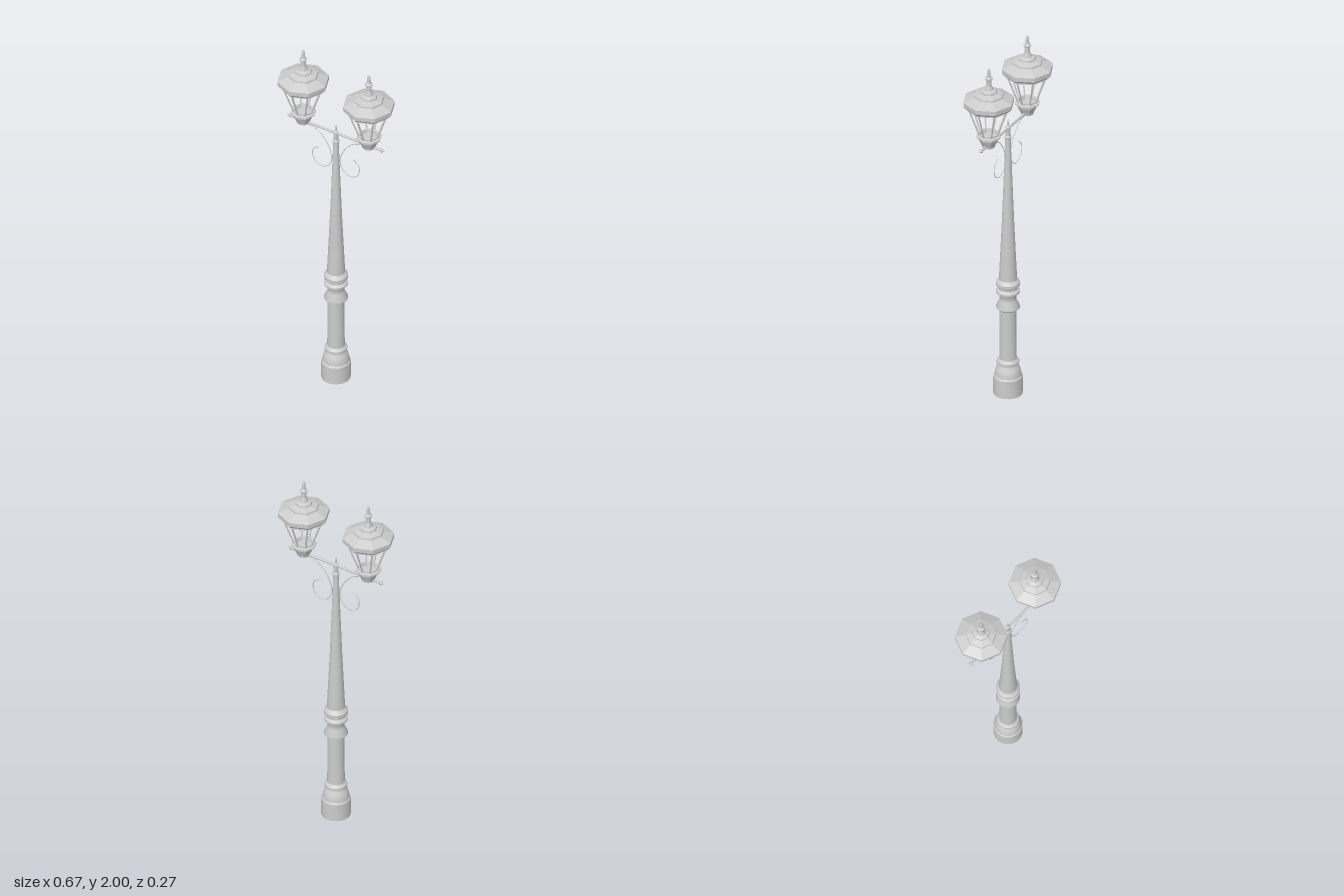
import * as THREE from 'three';
import { toCreasedNormals } from 'three/addons/utils/BufferGeometryUtils.js';

const smooth = new THREE.MeshStandardMaterial({ color: 0xcccccc });
const faceted = new THREE.MeshStandardMaterial({ color: 0xcccccc, flatShading: true });

function addMesh(parent, name, geometry, material = smooth) {
  const mesh = new THREE.Mesh(geometry, material);
  mesh.name = name;
  parent.add(mesh);
  return mesh;
}

// Turned solid from [radius, height] pairs, listed bottom to top
function lathe(profile, sides) {
  return new THREE.LatheGeometry(profile.map(([r, y]) => new THREE.Vector2(r, y)), sides);
}

// Straight rod between two points
function addRod(parent, name, a, b, radius, sides, material) {
  const rod = addMesh(parent, name,
    new THREE.CylinderGeometry(radius, radius, a.distanceTo(b), sides), material);
  rod.position.copy(a).add(b).multiplyScalar(0.5);
  rod.quaternion.setFromUnitVectors(new THREE.Vector3(0, 1, 0), b.clone().sub(a).normalize());
  return rod;
}

function createLantern() {
  const lantern = new THREE.Group();

  // Tapered foot with a flanged rim and a shallow dish on top
  addMesh(lantern, 'lanternFoot', lathe([
    [0, 1.54], [0.034, 1.54], [0.036, 1.55], [0.054, 1.588], [0.054, 1.596], [0.066, 1.6],
    [0.066, 1.608], [0.054, 1.612], [0.054, 1.62], [0.046, 1.62], [0.04, 1.6], [0, 1.6],
  ], 8), faceted);

  // Hollow eight-sided roof: eave, slope, collar, then the inner shell
  addMesh(lantern, 'roof', lathe([
    [0.112, 1.776], [0.122, 1.776], [0.135, 1.79], [0.135, 1.814], [0.08, 1.838],
    [0.078, 1.848], [0.045, 1.858], [0.043, 1.868], [0.022, 1.876],
    [0, 1.876], [0, 1.845], [0.07, 1.828], [0.122, 1.806], [0.12, 1.79], [0.112, 1.776],
  ], 8), faceted);

  // Finial
  addMesh(lantern, 'finial', lathe([
    [0.026, 1.868], [0.022, 1.882], [0.015, 1.9], [0.013, 1.928], [0.02, 1.934], [0.02, 1.942],
    [0.012, 1.948], [0.009, 1.965], [0.01, 1.972], [0.006, 1.99], [0, 2],
  ], 8), faceted);

  // Ring under the eave that holds the bars
  addMesh(lantern, 'upperRing', lathe([
    [0.1, 1.766], [0.115, 1.766], [0.115, 1.78], [0.1, 1.78], [0.1, 1.766],
  ], 8), faceted);

  // Eight sloping bars, one on each corner
  for (let i = 0; i < 8; i++) {
    const a = (i * Math.PI) / 4;
    const at = (r, y) => new THREE.Vector3(r * Math.sin(a), y, r * Math.cos(a));
    addRod(lantern, 'lanternBar', at(0.05, 1.612), at(0.107, 1.772), 0.0042, 6, faceted);
  }
  return lantern;
}

export function createModel() {
  const model = new THREE.Group();
  model.name = 'streetLamp';

  // Turned column with plinth, rings and long taper
  const column = lathe([
    [0, 0], [0.076, 0], [0.076, 0.1], [0.07, 0.108], [0.068, 0.125], [0.062, 0.148],
    [0.051, 0.165], [0.05, 0.172], [0.058, 0.177], [0.058, 0.19], [0.05, 0.196], [0.045, 0.204],
    [0.044, 0.488], [0.062, 0.502], [0.062, 0.508], [0.043, 0.548], [0.043, 0.566],
    [0.05, 0.585], [0.062, 0.592], [0.062, 0.602], [0.05, 0.612], [0.05, 0.624],
    [0.062, 0.634], [0.062, 0.65], [0.054, 0.658], [0.046, 0.668], [0.046, 0.69],
    [0.031, 1.02], [0.014, 1.488], [0.018, 1.492], [0.018, 1.502], [0.013, 1.508],
    [0.011, 1.53], [0.013, 1.54], [0.012, 1.556], [0.005, 1.563], [0.004, 1.585], [0, 1.606],
  ], 20);
  addMesh(model, 'column', toCreasedNormals(column, 0.5));

  // Crossbar
  addRod(model, 'crossbar', new THREE.Vector3(-0.275, 1.549, 0),
    new THREE.Vector3(0.275, 1.549, 0), 0.007, 12);

  // Scroll bracket path, from beneath the lantern down to its curl
  const scroll = [
    [0.19, 1.542], [0.14, 1.535], [0.09, 1.508], [0.045, 1.448], [0.025, 1.385], [0.038, 1.335],
    [0.075, 1.307], [0.122, 1.318], [0.143, 1.36], [0.135, 1.397], [0.105, 1.42],
  ];

  for (const side of [-1, 1]) {
    const arm = new THREE.Group();
    arm.name = side > 0 ? 'leftArm' : 'rightArm';
    model.add(arm);

    const lantern = createLantern();
    lantern.name = 'lantern';
    lantern.position.x = side * 0.2;
    arm.add(lantern);

    // Pointed end of the crossbar
    const tip = addMesh(arm, 'crossbarTip', lathe(
      [[0, 0], [0.006, 0], [0.011, 0.006], [0.008, 0.014], [0, 0.027]], 12));
    tip.position.set(side * 0.27, 1.549, 0);
    tip.rotation.z = -side * Math.PI / 2;

    const path = new THREE.CatmullRomCurve3(
      scroll.map(([x, y]) => new THREE.Vector3(side * x, y, 0)));
    addMesh(arm, 'scrollBracket', new THREE.TubeGeometry(path, 48, 0.0022, 6));
  }
  return model;
}
